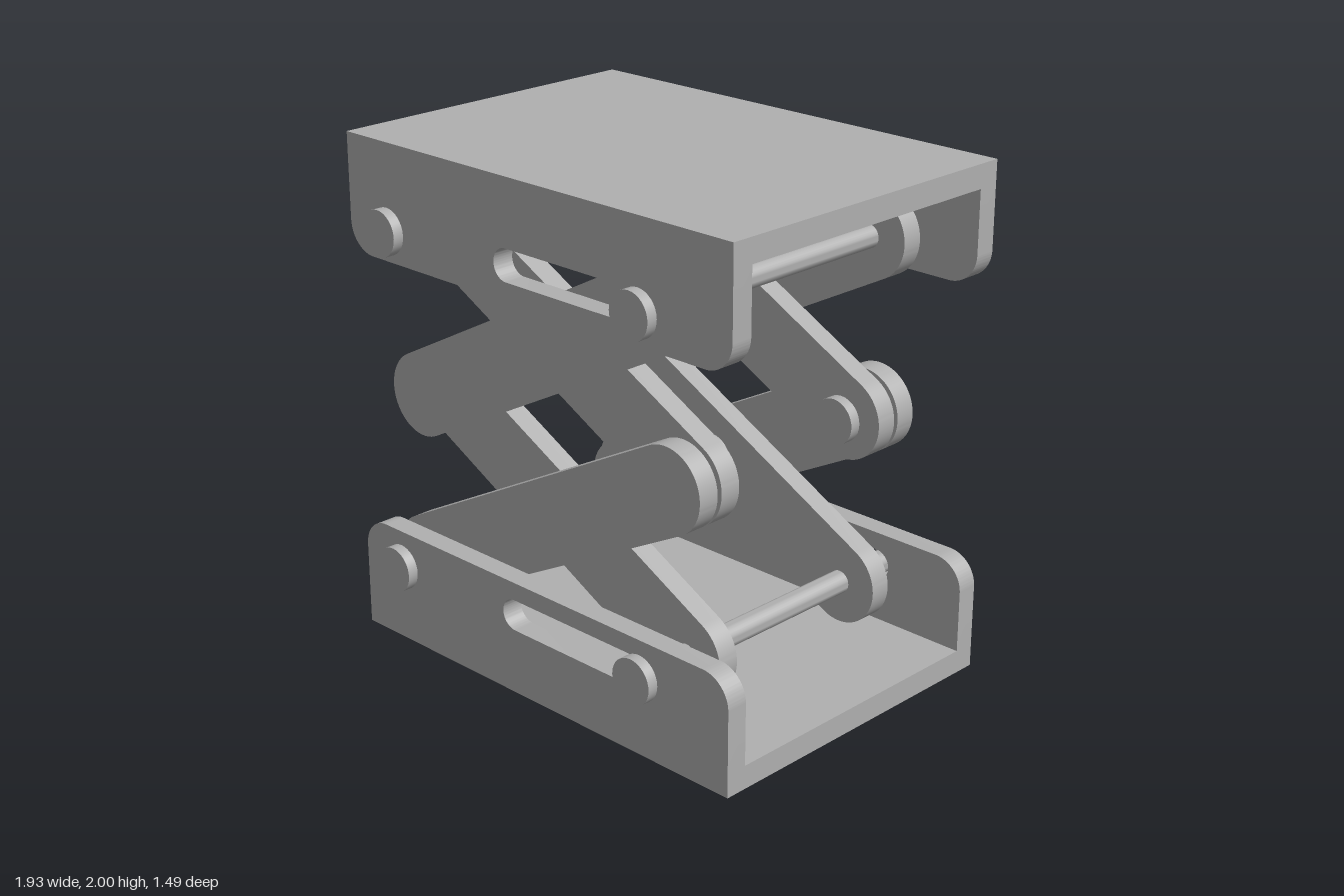
import * as THREE from 'three';
import { toCreasedNormals } from 'three/addons/utils/BufferGeometryUtils.js';

const grey = new THREE.MeshStandardMaterial({ color: 0xb0b0b0 });
grey.name = 'plainGrey';

const LEFT = -0.73, RIGHT = 0.56;          // pivot columns
const LOW = 0.322, MID = 0.996, HIGH = 1.672; // pivot rows
const CX = (LEFT + RIGHT) / 2;

function add(parent, name, geometry, x = 0, y = 0, z = 0) {
  const mesh = new THREE.Mesh(geometry, grey);
  mesh.name = name;
  mesh.position.set(x, y, z);
  parent.add(mesh);
  return mesh;
}

function extrude(shape, depth) {
  const g = new THREE.ExtrudeGeometry(shape, { depth, bevelEnabled: false, curveSegments: 24 });
  return toCreasedNormals(g, 0.6);
}

// Rounded-end outline along x from x0 to x1, centred on height y
function capsule(target, x0, x1, y, r) {
  target.moveTo(x0, y - r);
  target.lineTo(x1, y - r);
  target.absarc(x1, y, r, -Math.PI / 2, Math.PI / 2, false);
  target.lineTo(x0, y + r);
  target.absarc(x0, y, r, Math.PI / 2, Math.PI * 1.5, false);
  return target;
}

// Channel tray: floor plate between two slotted side walls
function makeTray(name) {
  const tray = new THREE.Group();
  tray.name = name;
  const w = 0.967, h = 0.455, r = 0.12;
  const wall = new THREE.Shape();
  wall.moveTo(-w, 0);
  wall.lineTo(w, 0);
  wall.lineTo(w, h - r);
  wall.absarc(w - r, h - r, r, 0, Math.PI / 2, false);
  wall.lineTo(-w + r, h);
  wall.absarc(-w + r, h - r, r, Math.PI / 2, Math.PI, false);
  wall.closePath();
  wall.holes.push(capsule(new THREE.Path(), -0.11, RIGHT, LOW, 0.062));
  const wallGeometry = extrude(wall, 0.088);
  add(tray, 'frontWall', wallGeometry, 0, 0, 0.593);
  add(tray, 'backWall', wallGeometry, 0, 0, -0.681);
  add(tray, 'plate', new THREE.BoxGeometry(2 * w, 0.092, 1.186), 0, 0.046, 0);
  return tray;
}

// Scissor arm between two pivots, occupying z0 to z0 + 0.088
function addArm(parent, name, xa, ya, xb, yb, z0) {
  const half = Math.hypot(xb - xa, yb - ya) / 2;
  const geometry = extrude(capsule(new THREE.Shape(), -half, half, 0, 0.165), 0.088);
  const arm = add(parent, name, geometry, (xa + xb) / 2, (ya + yb) / 2, z0);
  arm.rotation.z = Math.atan2(yb - ya, xb - xa);
}

// Turned pin along z from a [radius, z] profile
function addPin(parent, name, profile, x, y, flip = false) {
  const points = profile.map(([r, z]) => new THREE.Vector2(r, z));
  const geometry = toCreasedNormals(new THREE.LatheGeometry(points, 32), 0.6);
  const pin = add(parent, name, geometry, x, y);
  pin.rotation.x = flip ? -Math.PI / 2 : Math.PI / 2;
}

export function createModel() {
  const model = new THREE.Group();
  model.name = 'scissorLift';

  // Matching trays at bottom and top
  model.add(makeTray('baseTray'));
  const top = makeTray('topTray');
  top.rotation.x = Math.PI;
  top.position.y = 2;
  model.add(top);

  // Two scissor stages on each side
  for (const [side, outerZ, innerZ] of [['front', 0.484, 0.376], ['back', -0.572, -0.464]]) {
    const linkage = new THREE.Group();
    linkage.name = side + 'Linkage';
    for (const [stage, y0, y1] of [['Lower', LOW, MID], ['Upper', MID, HIGH]]) {
      addArm(linkage, 'outer' + stage + 'Arm', LEFT, y0, RIGHT, y1, outerZ);
      addArm(linkage, 'inner' + stage + 'Arm', LEFT, y1, RIGHT, y0, innerZ);
    }
    // Short headed pins at the joints and crossings
    const shortPin = [[0, 0.31], [0.09, 0.31], [0.09, 0.355], [0.045, 0.355], [0.045, 0.55], [0, 0.55]];
    const joints = [[LEFT, MID], [RIGHT, MID], [CX, (LOW + MID) / 2], [CX, (MID + HIGH) / 2]];
    for (const [x, y] of joints) addPin(linkage, 'jointPin', shortPin, x, y, side === 'back');
    model.add(linkage);
  }

  // Long cross rods with a head at each end
  const rod = [
    [0, -0.745], [0.09, -0.745], [0.09, -0.702], [0.045, -0.702],
    [0.045, 0.702], [0.09, 0.702], [0.09, 0.745], [0, 0.745],
  ];
  for (const x of [LEFT, RIGHT]) for (const y of [LOW, HIGH]) addPin(model, 'crossRod', rod, x, y);

  return model;
}
